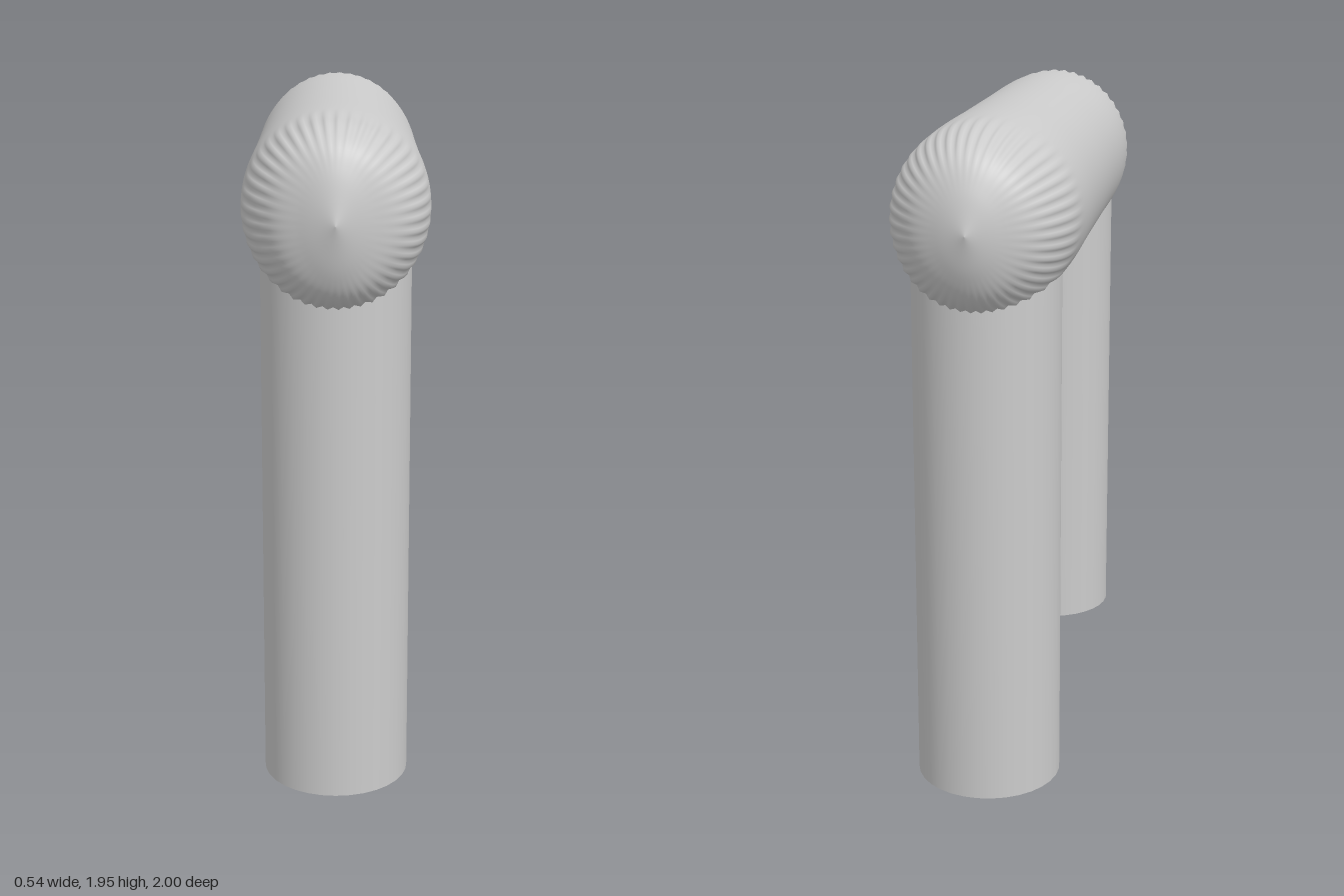
import * as THREE from 'three';

const AXIS_Y = 1.68;
const LEG_Z = 0.67;

// Cross-sections of the bar from front tip to back tip: half width, half height, z
const STATIONS = [
  [0, 0, 1], [0.09, 0.14, 0.966], [0.17, 0.212, 0.925], [0.222, 0.25, 0.86],
  [0.253, 0.264, 0.76], [0.267, 0.27, 0.6], [0.267, 0.27, 0.2],
  [0.267, 0.27, -0.2], [0.267, 0.27, -0.58], [0.253, 0.262, -0.76],
  [0.217, 0.238, -0.86], [0.165, 0.195, -0.925], [0.085, 0.115, -0.97], [0, 0, -1],
];

// Smooth tube of elliptical rings with shallow pleats near both ends
function barGeometry(rings = 96, sides = 180, pleats = 45) {
  const curve = new THREE.CatmullRomCurve3(
    STATIONS.map((s) => new THREE.Vector3(...s)), false, 'centripetal');
  const positions = [];
  const indices = [];
  for (let i = 0; i <= rings; i++) {
    const p = curve.getPoint(i / rings);
    const az = Math.abs(p.z);
    const pleat = 0.016 * THREE.MathUtils.smoothstep(az, 0.6, 0.85)
      * (1 - THREE.MathUtils.smoothstep(az, 0.87, 0.98));
    for (let j = 0; j < sides; j++) {
      const a = (j / sides) * Math.PI * 2;
      const k = 1 + pleat * (Math.cos(a * pleats) - 0.5);
      positions.push(Math.cos(a) * p.x * k, Math.sin(a) * p.y * k, p.z);
      if (i === rings) continue;
      const a0 = i * sides + j;
      const b0 = i * sides + ((j + 1) % sides);
      indices.push(a0, a0 + sides, b0, b0, a0 + sides, b0 + sides);
    }
  }
  const geometry = new THREE.BufferGeometry();
  geometry.setAttribute('position', new THREE.Float32BufferAttribute(positions, 3));
  geometry.setIndex(indices);
  geometry.computeVertexNormals();
  return geometry;
}

export function createModel() {
  const model = new THREE.Group();
  const material = new THREE.MeshStandardMaterial({ color: 0xcccccc });

  // Horizontal bar
  const bar = new THREE.Mesh(barGeometry(), material);
  bar.name = 'bar';
  bar.position.y = AXIS_Y;
  model.add(bar);

  // Round legs, running up into the bar
  const legGeometry = new THREE.CylinderGeometry(0.212, 0.212, 1.62, 32);
  for (const [name, side] of [['frontLeg', 1], ['backLeg', -1]]) {
    const leg = new THREE.Mesh(legGeometry, material);
    leg.name = name;
    leg.position.set(0, 0.81, side * LEG_Z);
    model.add(leg);
  }
  return model;
}
